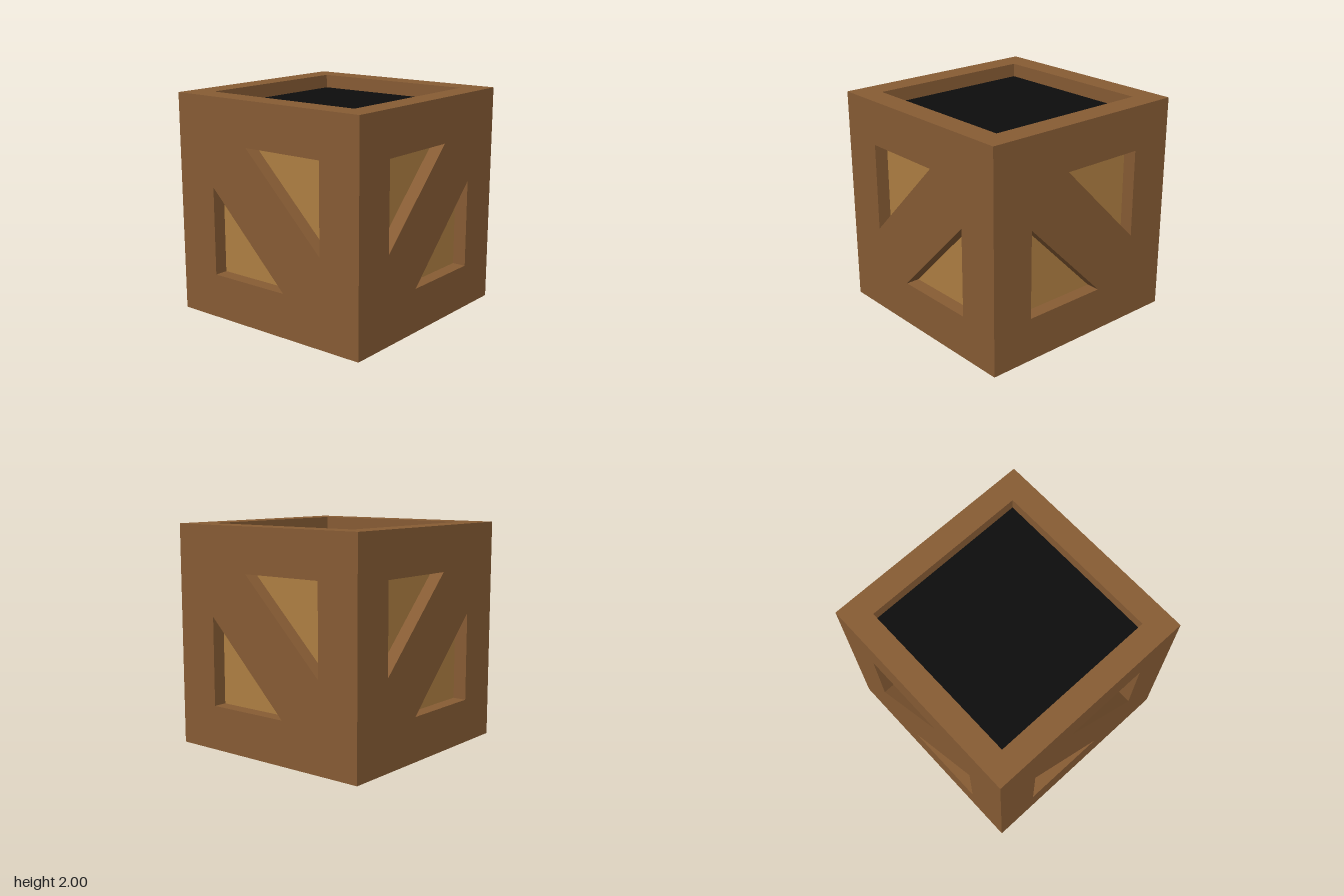
import * as THREE from 'three';

const HALF = 1;        // half the crate's side
const DEPTH = 0.125;   // thickness of the outer frames
const CORE = HALF - DEPTH;

const pts = (list) => list.map(([x, y]) => new THREE.Vector2(x, y));
const square = (h) => pts([[-h, -h], [h, -h], [h, h], [-h, h]]);

// One wall of the crate, facing +z, with cut-outs and mitred edges
function wallGeometry(holes) {
  const shape = new THREE.Shape(square(HALF));
  holes.forEach((h) => shape.holes.push(new THREE.Path(h)));
  const geo = new THREE.ExtrudeGeometry(shape, { depth: DEPTH, bevelEnabled: false });
  geo.translate(0, 0, CORE);
  const p = geo.attributes.position;
  for (let i = 0; i < p.count; i++) {
    const x = p.getX(i), y = p.getY(i);
    const rim = Math.max(Math.abs(x), Math.abs(y)) > HALF - 0.001;
    if (rim && p.getZ(i) < CORE + 0.001) p.setXY(i, x * CORE, y * CORE);
  }
  geo.computeVertexNormals();
  return geo;
}

// Two triangular cut-outs that leave a diagonal brace; m mirrors them
function braceHoles(m) {
  const tri = [[-0.2, 0.6], [0.6, 0.6], [0.6, -0.2]];
  return [1, -1].map((s) => pts(tri.map(([x, y]) => [s * m * x, s * y])));
}

export function createModel() {
  const frameWood = new THREE.MeshStandardMaterial({ color: 0x875c34 });
  frameWood.name = 'frame wood';
  const panelWood = new THREE.MeshStandardMaterial({ color: 0xaf7f42 });
  panelWood.name = 'panel wood';
  const darkInside = new THREE.MeshStandardMaterial({ color: 0x0d0d0d });
  darkInside.name = 'dark inside';

  const crate = new THREE.Group();
  crate.name = 'crate';
  const add = (name, geo, mat) => {
    const mesh = new THREE.Mesh(geo, mat);
    mesh.name = name;
    mesh.position.y = HALF;
    crate.add(mesh);
    return mesh;
  };

  // Four braced sides, the brace direction alternating
  ['frontFrame', 'leftFrame', 'backFrame', 'rightFrame'].forEach((name, i) => {
    add(name, wallGeometry(braceHoles(i % 2 ? -1 : 1)), frameWood).rotation.y = i * Math.PI / 2;
  });

  // Top rim and bottom frame with square openings
  add('topRim', wallGeometry([square(0.78)]), frameWood).rotation.x = -Math.PI / 2;
  add('bottomFrame', wallGeometry([square(0.6)]), frameWood).rotation.x = Math.PI / 2;

  // Recessed panels, dark on top
  const side = CORE * 2;
  add('innerPanels', new THREE.BoxGeometry(side, side, side),
    [panelWood, panelWood, darkInside, panelWood, panelWood, panelWood]);

  return crate;
}
